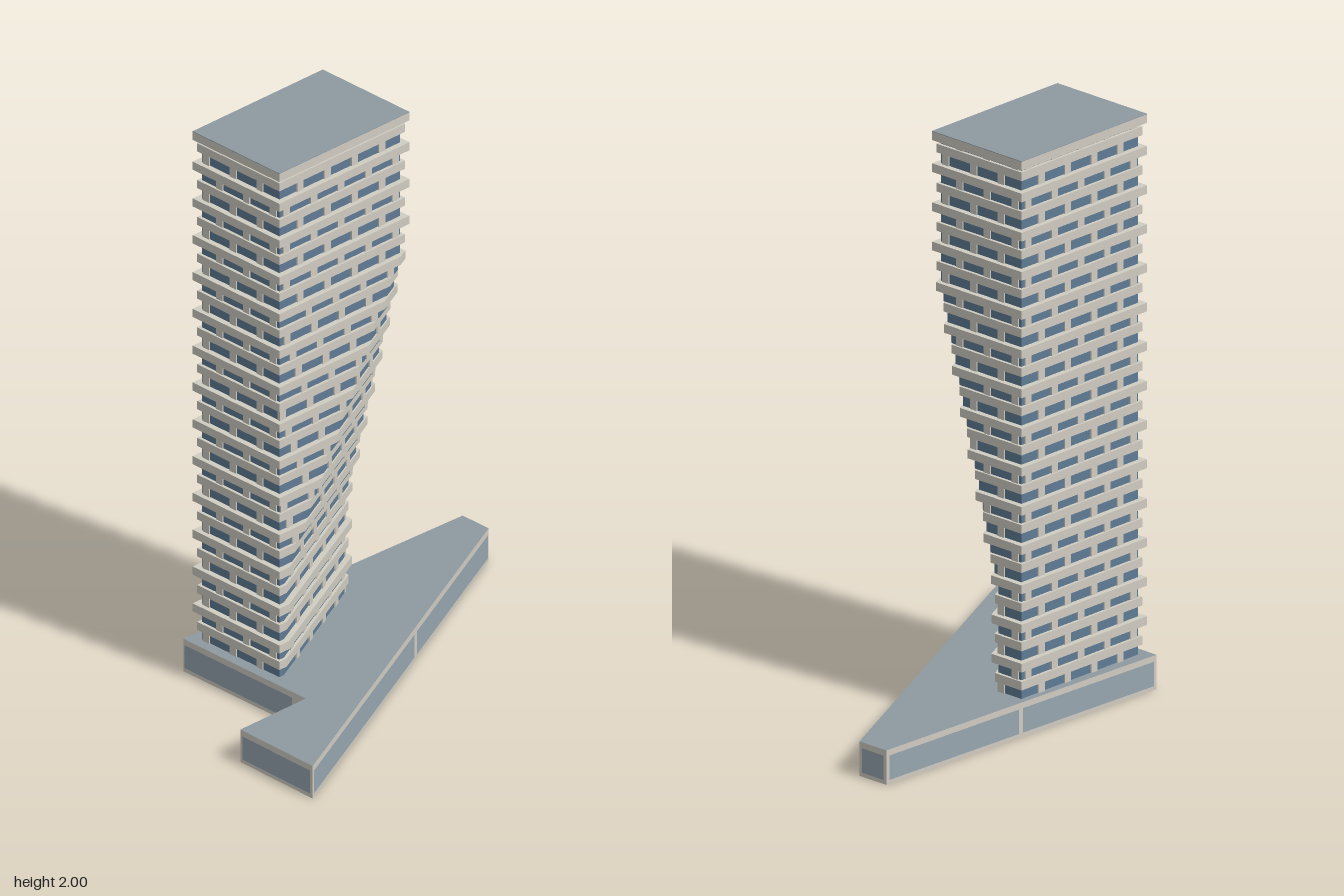
import * as THREE from 'three';
import { mergeGeometries } from 'three/addons/utils/BufferGeometryUtils.js';

export function createModel() {
  const group = new THREE.Group();
  const mat = (name, color, side = THREE.FrontSide) =>
    Object.assign(new THREE.MeshStandardMaterial({ color, side }), { name });
  const stone = mat('pale stone', 0xd0ccc2, THREE.DoubleSide);
  const glass = mat('tower glass', 0x5f7b94);
  const paleGlass = mat('podium glass', 0x97a6b0, THREE.DoubleSide);
  const roofing = mat('roof grey', 0x8d9aa1, THREE.DoubleSide);

  const add = (name, geo, material) => {
    const m = new THREE.Mesh(geo, material);
    m.name = name;
    group.add(m);
    return m;
  };
  const shapeOf = pts => new THREE.Shape(pts.map(([x, z]) => new THREE.Vector2(x, -z)));
  // Upright prism over a plan outline of [x, z] points
  const prism = (pts, y, h) =>
    new THREE.ExtrudeGeometry(shapeOf(pts), { depth: h, bevelEnabled: false })
      .rotateX(-Math.PI / 2).translate(0, y, 0);
  // Box set along the plan edge a -> b, centred at distance s from a
  const edgeBox = (a, b, s, y, w, h, t) => {
    const dx = b[0] - a[0], dz = b[1] - a[1], len = Math.hypot(dx, dz);
    return new THREE.BoxGeometry(w, h, t).rotateY(-Math.atan2(dz, dx))
      .translate(a[0] + dx * s / len, y, a[1] + dz * s / len);
  };

  // Podium: open-bottomed wedge with walls, roof and glazed panels
  const H = 0.12;
  const podium = [[-0.41, -0.767], [-0.29, -0.767], [0.45, 0.763], [0.11, 0.757], [0.11, 0.46], [-0.455, 0.46]];
  add('podiumRoof', new THREE.ShapeGeometry(shapeOf(podium)).rotateX(-Math.PI / 2).translate(0, H, 0), roofing);
  const walls = podium.map((a, i) => {
    const b = podium[(i + 1) % podium.length];
    const g = new THREE.PlaneGeometry(Math.hypot(b[0] - a[0], b[1] - a[1]), H);
    return g.rotateY(Math.PI - Math.atan2(b[1] - a[1], b[0] - a[0]))
      .translate((a[0] + b[0]) / 2, H / 2, (a[1] + b[1]) / 2);
  });
  add('podiumWalls', mergeGeometries(walls), stone);
  // Panels: wall index, start and end as fractions of the wall
  const panels = [[0, 0.1, 0.9], [1, 0.006, 0.41], [1, 0.424, 0.995], [2, 0.03, 0.97],
    [4, 0.11, 0.99], [5, 0.01, 0.495], [5, 0.51, 0.99]].map(([i, s, e]) => {
    const a = podium[i], b = podium[(i + 1) % podium.length];
    const len = Math.hypot(b[0] - a[0], b[1] - a[1]);
    // plates sit just outside the wall
    const nx = (b[1] - a[1]) / len * 0.0015, nz = -(b[0] - a[0]) / len * 0.0015;
    const g = new THREE.PlaneGeometry((e - s) * len, 0.085);
    const m = (s + e) / 2;
    return g.rotateY(Math.PI - Math.atan2(b[1] - a[1], b[0] - a[0]))
      .translate(a[0] + (b[0] - a[0]) * m + nx, 0.057, a[1] + (b[1] - a[1]) * m + nz);
  });
  add('podiumGlazing', mergeGeometries(panels), paleGlass);

  // Tower plan: a rectangle whose back left corner is sliced off, more so lower down
  const X0 = -0.41, X1 = -0.052, Z0 = -0.13, Z1 = 0.42;
  const NX = 0.9, NZ = -0.436;
  const plan = (y, d) => {
    const cutZ = Math.min(0.4, -0.15 + (1.53 - y) * 0.53);
    const k = NX * X1 + NZ * cutZ + d;
    const x0 = X0 - d, x1 = X1 + d, z0 = Z0 - d, z1 = Z1 + d;
    const z = Math.min((k - NX * x1) / NZ, z1 - 0.01);
    const corner = z <= z0 + 0.004 ? [[x1, z0]] : [[(k - NZ * z0) / NX, z0], [x1, z]];
    return [[x0, z0], ...corner, [x1, z1], [x0, z1]];
  };

  // Storeys: recessed glass, staggered piers and projecting slabs
  const slabs = [], cores = [], piers = [];
  const pitch = 0.0681, T = 0.03, N = 28;
  let floorY = H;
  for (let n = 0; n < N; n++) {
    const top = n === N - 1;
    const bottom = top ? 1.968 : 0.155 + n * pitch;
    const d = n % 2 ? 0.021 : 0.011;
    const outline = plan(bottom, 0);
    const h = bottom - floorY;
    cores.push(prism(outline, floorY, h));
    outline.forEach((a, i) => {
      const b = outline[(i + 1) % outline.length];
      const len = Math.hypot(b[0] - a[0], b[1] - a[1]);
      const step = 0.124, offset = n % 2 ? 0.025 : 0.087;
      for (let s = offset; s < len - 0.01; s += step)
        piers.push(edgeBox(a, b, s, floorY + h / 2, 0.029, h, 0.01));
    });
    slabs.push(prism(plan(bottom, d), bottom, T));
    floorY = bottom + T;
  }
  add('towerGlass', mergeGeometries(cores), glass);
  add('towerPiers', mergeGeometries(piers), stone);
  add('floorSlabs', mergeGeometries(slabs), stone);
  add('towerRoof', prism(plan(1.97, 0.021), 1.998, 0.002), roofing);
  return group;
}
